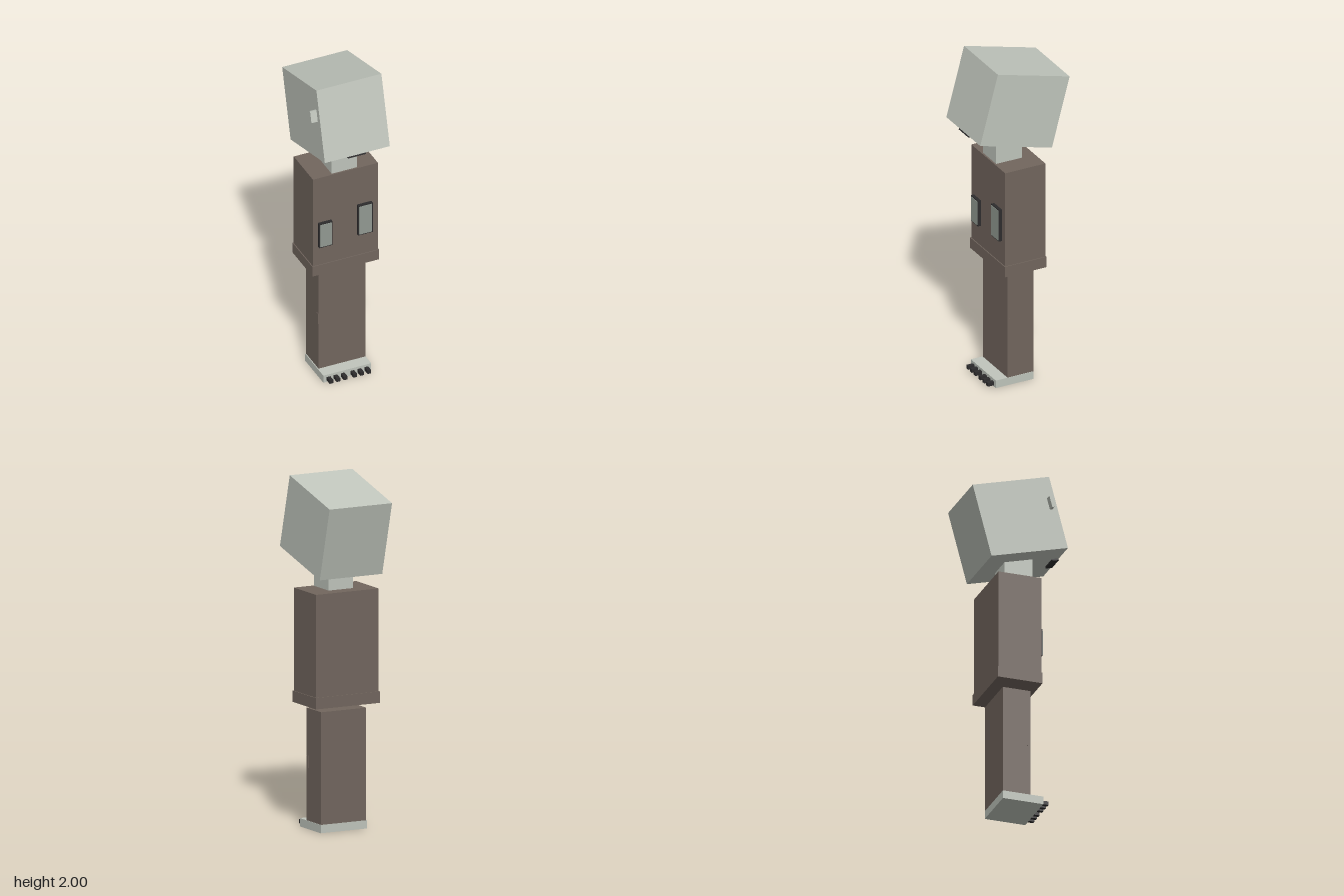
import * as THREE from 'three';

const material = (name, color) => {
  const m = new THREE.MeshStandardMaterial({ color });
  m.name = name;
  return m;
};

export function createModel() {
  const skin = material('pale grey', 0xc0c5bc);
  const cloth = material('brown', 0x72665e);
  const plate = material('mid grey', 0x929a92);
  const dark = material('near black', 0x2d2c2d);

  const model = new THREE.Group();
  model.name = 'blockFigure';

  // Box given by its minimum and maximum corners
  const box = (name, mat, min, max, parent = model) => {
    const size = max.map((v, i) => v - min[i]);
    const mesh = new THREE.Mesh(new THREE.BoxGeometry(...size), mat);
    mesh.position.set(...min.map((v, i) => v + size[i] / 2));
    mesh.name = name;
    parent.add(mesh);
    return mesh;
  };

  // Head, tilted back so the face looks slightly up
  const head = new THREE.Group();
  head.name = 'head';
  head.position.set(0.015, 1.73, 0);
  head.rotation.x = -0.26;
  model.add(head);
  box('skull', skin, [-0.2, -0.2175, -0.235], [0.2, 0.2175, 0.235], head);
  box('mouth', dark, [-0.055, -0.228, 0.192], [0.055, -0.2165, 0.232], head);
  const ear = box('ear', skin, [-0.02, -0.0345, -0.007], [0.02, 0.0345, 0.007], head);
  ear.position.set(-0.219, 0.056, 0.195);

  // Neck, torso and hem
  box('neck', skin, [-0.065, 1.36, -0.05], [0.09, 1.58, 0.115]);
  box('torso', cloth, [-0.185, 0.73, -0.13], [0.215, 1.37, 0.125]);
  box('hem', cloth, [-0.19, 0.72, -0.135], [0.22, 0.785, 0.13]);

  // Chest panels: dark backing with a thin grey face
  [[-0.155, 0.91, -0.073, 1.07], [0.085, 0.927, 0.175, 1.125]].forEach(([x0, y0, x1, y1]) => {
    const panel = new THREE.Group();
    panel.name = 'chestPanel';
    model.add(panel);
    box('panelBacking', dark, [x0, y0, 0.12], [x1, y1, 0.144], panel);
    box('panelFace', plate, [x0 + 0.006, y0 + 0.006, 0.142], [x1 - 0.006, y1 - 0.006, 0.147], panel);
  });

  // Legs with a narrow knee band
  box('legs', cloth, [-0.13, 0.02, -0.084], [0.158, 0.69, 0.08]);
  box('kneeBand', cloth, [-0.132, 0.35, 0.06], [0.16, 0.42, 0.078]);

  // Foot and toes
  box('foot', skin, [-0.135, 0.003, -0.085], [0.16, 0.05, 0.155]);
  [-0.103, -0.06, -0.016, 0.043, 0.086, 0.13].forEach((x) =>
    box('toe', dark, [x - 0.011, 0.013, 0.15], [x + 0.011, 0.035, 0.195]));

  return model;
}
